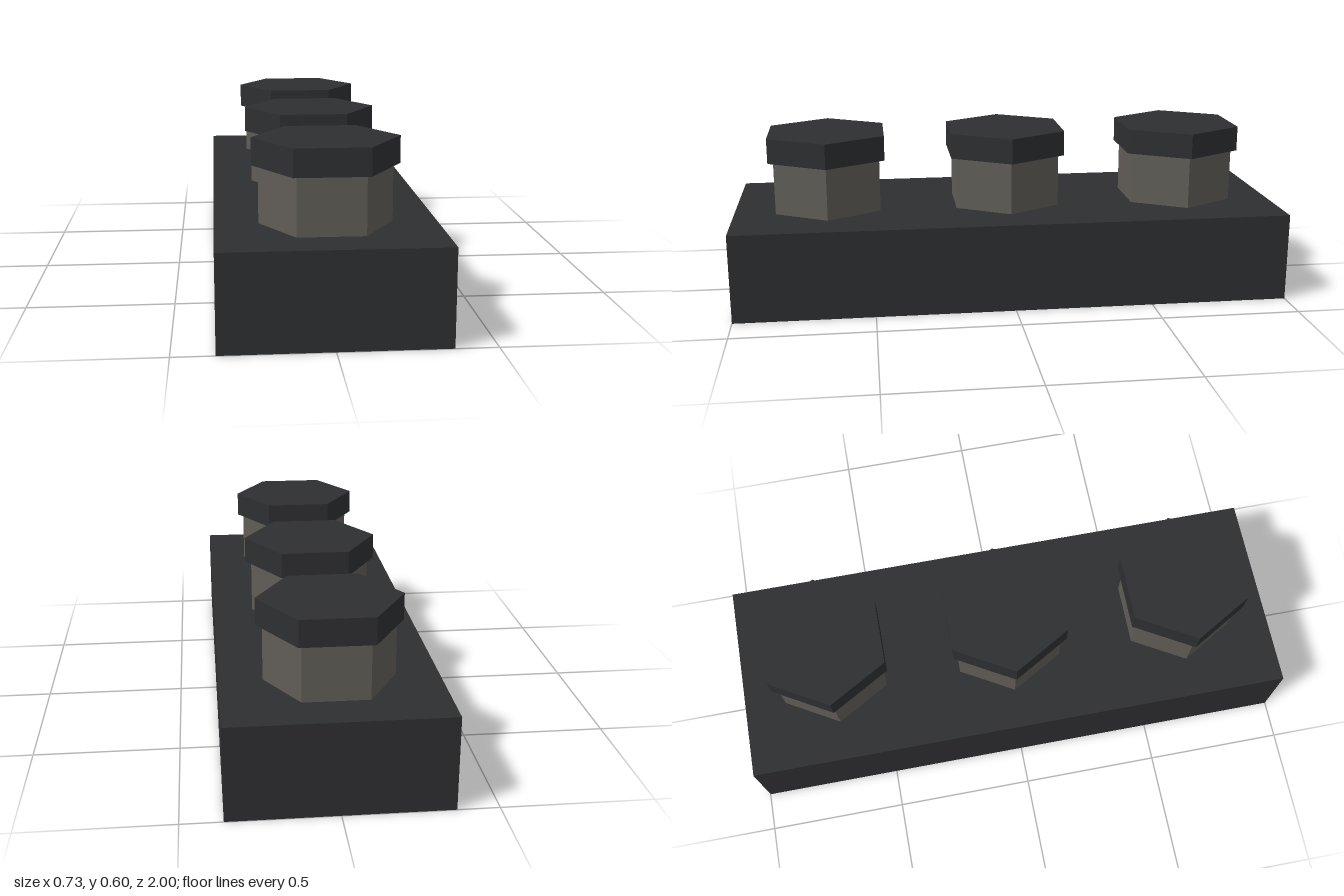
import * as THREE from 'three';

export function createModel() {
  const group = new THREE.Group();
  const dark = new THREE.MeshStandardMaterial({ color: 0x2e2f31, flatShading: true });
  const stone = new THREE.MeshStandardMaterial({ color: 0x605d57, flatShading: true });

  const add = (parent, name, geometry, material, y) => {
    const mesh = new THREE.Mesh(geometry, material);
    mesh.name = name;
    mesh.position.y = y;
    parent.add(mesh);
  };

  // Hexagonal prism with corners pointing along x
  const hexPrism = (radius, height) =>
    new THREE.CylinderGeometry(radius, radius, height, 6, 1, false, Math.PI / 6);

  // Rectangular base block
  const baseTop = 0.319, postTop = 0.51, capTop = 0.601;
  add(group, 'base', new THREE.BoxGeometry(0.726, baseTop, 2), dark, baseTop / 2);

  // Three hexagonal posts with overhanging caps
  const postGeometry = hexPrism(0.219, postTop - baseTop);
  const capGeometry = hexPrism(0.241, capTop - postTop);
  for (const z of [-0.66, 0, 0.66]) {
    const stud = new THREE.Group();
    stud.name = 'stud';
    stud.position.z = z;
    add(stud, 'post', postGeometry, stone, (baseTop + postTop) / 2);
    add(stud, 'cap', capGeometry, dark, (postTop + capTop) / 2);
    group.add(stud);
  }
  return group;
}
